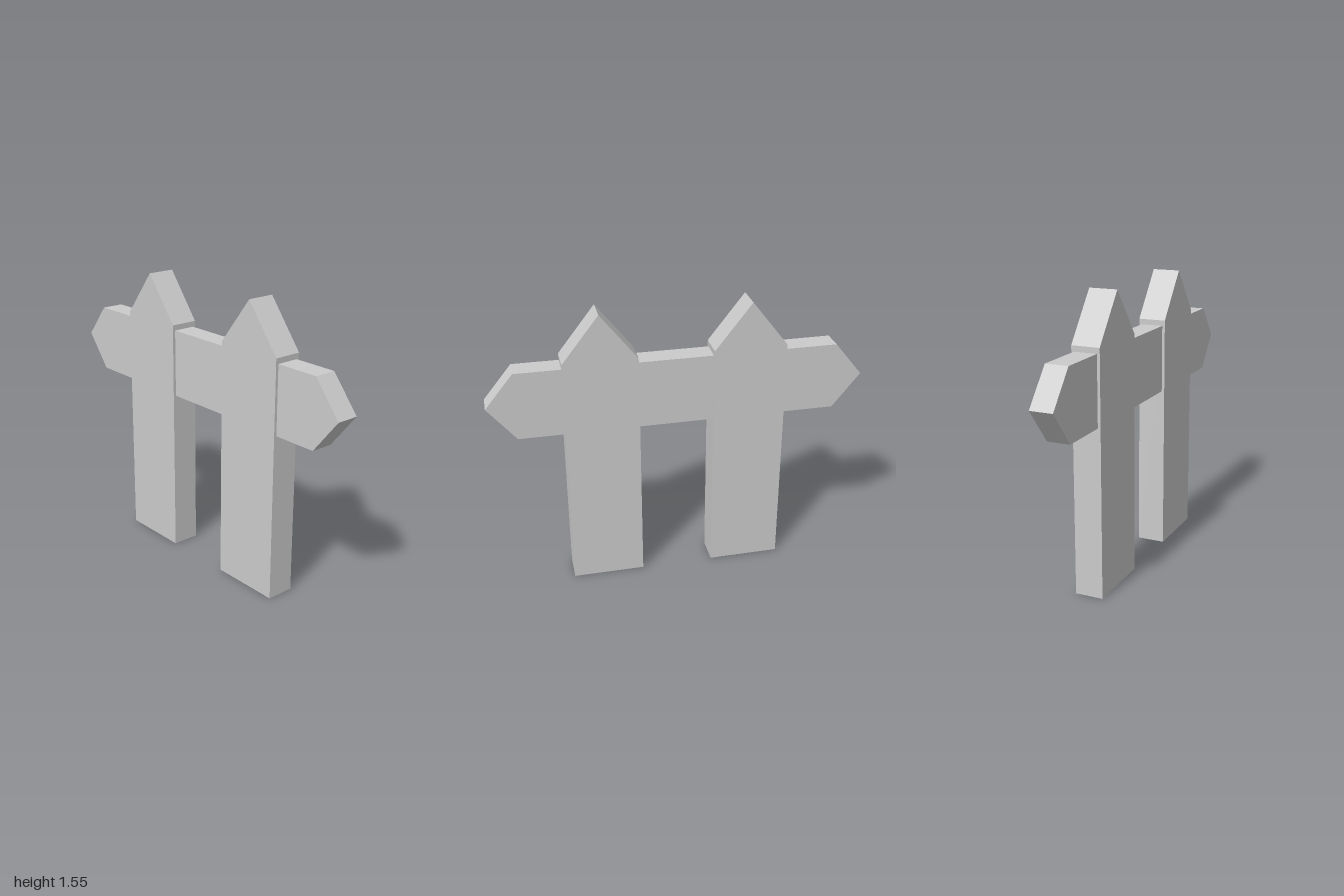
import * as THREE from 'three';

const material = new THREE.MeshStandardMaterial({ color: 0xcccccc, flatShading: true });

// Flat board cut from an outline, centred on z = 0
function board(name, outline, depth) {
  const shape = new THREE.Shape(outline.map(([x, y]) => new THREE.Vector2(x, y)));
  const geometry = new THREE.ExtrudeGeometry(shape, { depth, bevelEnabled: false });
  geometry.translate(0, 0, -depth / 2);
  const mesh = new THREE.Mesh(geometry, material);
  mesh.name = name;
  return mesh;
}

export function createModel() {
  const fence = new THREE.Group();
  fence.name = 'fence';

  // Upright pickets with pointed tops
  const halfWidth = 0.195;
  const picket = [[-halfWidth, 0], [halfWidth, 0], [halfWidth, 1.303], [0, 1.552], [-halfWidth, 1.303]];
  for (const [name, x] of [['rightPicket', -0.376], ['leftPicket', 0.411]]) {
    const mesh = board(name, picket, 0.152);
    mesh.position.x = x;
    fence.add(mesh);
  }

  // Horizontal rail, pointed at both ends
  const rail = [[-1, 1.09], [-0.85, 0.905], [0.85, 0.905], [1, 1.09], [0.85, 1.273], [-0.85, 1.273]];
  fence.add(board('rail', rail, 0.122));

  return fence;
}
